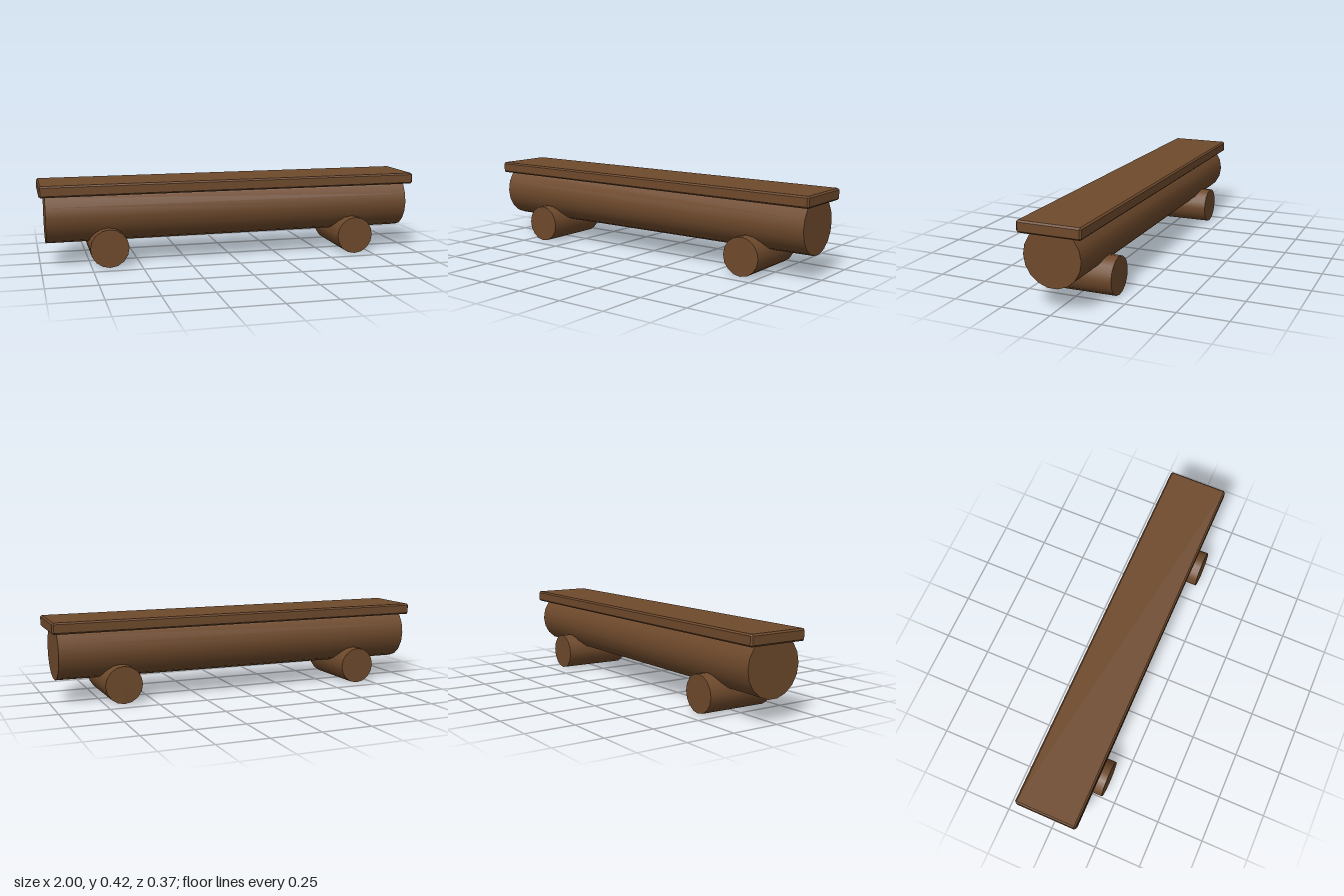
import * as THREE from 'three';
import { ConvexGeometry } from 'three/addons/geometries/ConvexGeometry.js';

// Box with every edge cut by a small flat chamfer
function chamferedBox(w, h, d, c) {
  const points = [];
  for (const sx of [-1, 1]) for (const sy of [-1, 1]) for (const sz of [-1, 1]) {
    for (let face = 0; face < 3; face++) {
      const p = [w / 2, h / 2, d / 2].map((half, axis) => (axis === face ? half : half - c));
      points.push(new THREE.Vector3(sx * p[0], sy * p[1], sz * p[2]));
    }
  }
  return new ConvexGeometry(points);
}

export function createModel() {
  const bench = new THREE.Group();
  bench.name = 'logBench';
  const wood = new THREE.MeshStandardMaterial({ color: 0x6f4a2c });
  wood.name = 'brown wood';

  const add = (name, geometry, x, y, z) => {
    const mesh = new THREE.Mesh(geometry, wood);
    mesh.name = name;
    mesh.position.set(x, y, z);
    bench.add(mesh);
  };

  // Seat plank
  add('seatPlank', chamferedBox(2, 0.058, 0.32, 0.008), 0, 0.394, 0);

  // Main log, slightly thicker towards -x
  add('mainLog', new THREE.CylinderGeometry(0.151, 0.144, 1.94, 18).rotateZ(Math.PI / 2), 0, 0.26, 0);

  // Short cross logs as feet, slightly thicker at the front
  for (const side of [-1, 1]) {
    add(side > 0 ? 'leftFootLog' : 'rightFootLog',
      new THREE.CylinderGeometry(0.098, 0.095, 0.366, 16).rotateX(Math.PI / 2), side * 0.66, 0.099, 0);
  }
  return bench;
}
